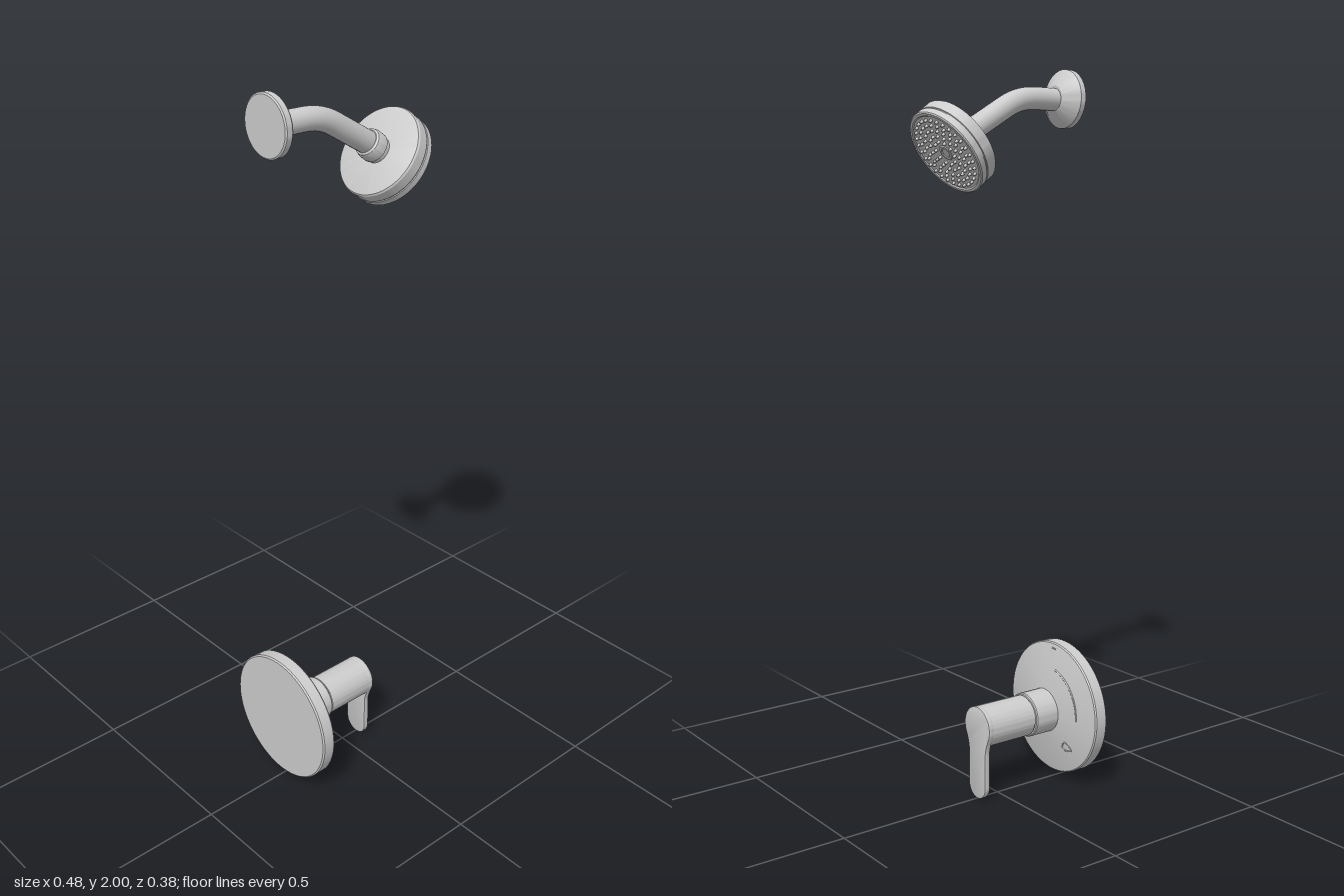
import * as THREE from 'three';
import { mergeGeometries, toCreasedNormals } from 'three/addons/utils/BufferGeometryUtils.js';

const material = new THREE.MeshStandardMaterial({ color: 0xcccccc });

function part(name, geometry, parent) {
  const mesh = new THREE.Mesh(geometry, material);
  mesh.name = name;
  parent.add(mesh);
  return mesh;
}

// Turned solid along +x; profile is a list of [x, radius]
function turned(profile, segments = 64) {
  const g = new THREE.LatheGeometry(profile.map(([x, r]) => new THREE.Vector2(r, x)), segments);
  g.rotateZ(-Math.PI / 2);
  return toCreasedNormals(g, 0.5);
}

function createShower() {
  const shower = new THREE.Group();
  shower.name = 'shower';

  // Wall flange
  part('armFlange', turned([
    [-0.24, 0], [-0.24, 0.074], [-0.237, 0.078], [-0.221, 0.078], [-0.217, 0.075],
    [-0.192, 0.037], [-0.19, 0.034], [-0.19, 0],
  ]), shower).position.y = 1.922;

  // Bent pipe
  const path = new THREE.CurvePath();
  const v = (x, y) => new THREE.Vector3(x, y, 0);
  path.add(new THREE.LineCurve3(v(-0.2, 1.919), v(-0.14, 1.919)));
  path.add(new THREE.CubicBezierCurve3(v(-0.14, 1.919), v(-0.095, 1.919), v(-0.065, 1.914), v(-0.025, 1.891)));
  path.add(new THREE.LineCurve3(v(-0.025, 1.891), v(0.095, 1.82)));
  part('arm', new THREE.TubeGeometry(path, 48, 0.03, 32), shower);

  // Tilted head: local x = 0 is the back face, +x is the spray direction
  const head = new THREE.Group();
  head.name = 'showerHead';
  head.position.set(0.119, 1.801, 0);
  head.rotation.z = -Math.atan2(0.6, 0.8);
  shower.add(head);

  part('collar', turned([
    [-0.05, 0], [-0.05, 0.031], [-0.046, 0.036], [-0.036, 0.039], [-0.014, 0.039], [-0.01, 0.035], [0.002, 0.035],
  ]), head);

  part('headBody', turned([
    [0, 0], [0, 0.115], [0.002, 0.12], [0.007, 0.123], [0.035, 0.123], [0.036, 0.1205],
    [0.039, 0.1205], [0.04, 0.123], [0.057, 0.123], [0.06, 0.12], [0.06, 0.113],
    [0.057, 0.11], [0.057, 0.022], [0.059, 0.02], [0.059, 0.014], [0.057, 0.012], [0.057, 0],
  ], 80), head);

  // Spray nozzles in concentric rings
  const nozzles = [];
  [[0.034, 10], [0.051, 15], [0.068, 20], [0.084, 24], [0.099, 30]].forEach(([radius, count], ring) => {
    for (let i = 0; i < count; i++) {
      const a = ((i + (ring % 2) / 2) / count) * Math.PI * 2;
      const n = new THREE.CylinderGeometry(0.003, 0.0048, 0.01, 10);
      n.rotateZ(-Math.PI / 2);
      n.translate(0.06, Math.cos(a) * radius, Math.sin(a) * radius);
      nozzles.push(n);
    }
  });
  part('nozzles', mergeGeometries(nozzles), head);
  return shower;
}

function createValve() {
  const valve = new THREE.Group();
  valve.name = 'valve';
  valve.position.y = 0.208;

  // Wall plate, slightly conical at the front
  const plate = new THREE.Group();
  plate.name = 'wallPlate';
  plate.position.y = 0.003;
  valve.add(plate);
  part('plateBody', turned([
    [-0.24, 0], [-0.24, 0.187], [-0.236, 0.191], [-0.203, 0.191], [-0.199, 0.188], [-0.168, 0.06], [-0.168, 0],
  ], 96), plate);

  // Raised temperature marks lying on the cone
  const coneX = (r) => -0.199 + ((0.188 - r) / 0.128) * 0.031;
  const onCone = (r, degrees) => {
    const a = THREE.MathUtils.degToRad(degrees);
    return new THREE.Vector3(coneX(r), Math.sin(a) * r, -Math.cos(a) * r);
  };
  const mark = (name, points, radius, closed = false) => part(name,
    new THREE.TubeGeometry(new THREE.CatmullRomCurve3(points, closed), 40, radius, 8, closed), plate);
  mark('temperatureArc', Array.from({ length: 12 }, (_, i) => onCone(0.123, -3 + i * 7.2)), 0.0025);
  mark('coldMark', [[0.112, -47], [0.12, -57], [0.132, -54], [0.142, -46], [0.126, -45]]
    .map(([r, a]) => onCone(r, a)), 0.002, true);
  mark('topMark', [onCone(0.176, 90), onCone(0.176, 84)], 0.002);

  // Sleeve and handle hub
  part('sleeve', turned([
    [-0.175, 0.0625], [-0.096, 0.0625], [-0.093, 0.06], [-0.093, 0],
  ]), valve);
  part('handleHub', turned([
    [-0.095, 0.055], [-0.09, 0.055], [-0.089, 0.058], [0.06, 0.058], [0.06, 0],
  ]), valve);

  // Lever: round top blending into a narrow blade with a rounded tip
  const s = new THREE.Shape();
  const w = 0.038, tip = -0.169, r = 0.058, a = 0.4;
  const hx = r * Math.cos(a), hy = -r * Math.sin(a);
  s.moveTo(w, tip);
  s.lineTo(w, -0.075);
  s.quadraticCurveTo(w, -0.055, hx, hy);
  s.absarc(0, 0, r, -a, Math.PI + a, false);
  s.quadraticCurveTo(-w, -0.055, -w, -0.075);
  s.lineTo(-w, tip);
  s.absarc(0, tip, w, Math.PI, Math.PI * 2, false);
  const lever = new THREE.ExtrudeGeometry(s, {
    depth: 0.012, curveSegments: 32, bevelThickness: 0.002, bevelSize: 0.002, bevelOffset: -0.002, bevelSegments: 2,
  });
  lever.rotateY(Math.PI / 2);
  lever.translate(0.057, 0, 0);
  part('lever', toCreasedNormals(lever, 0.5), valve);
  return valve;
}

export function createModel() {
  const model = new THREE.Group();
  model.name = 'showerSet';
  model.add(createShower(), createValve());
  return model;
}
